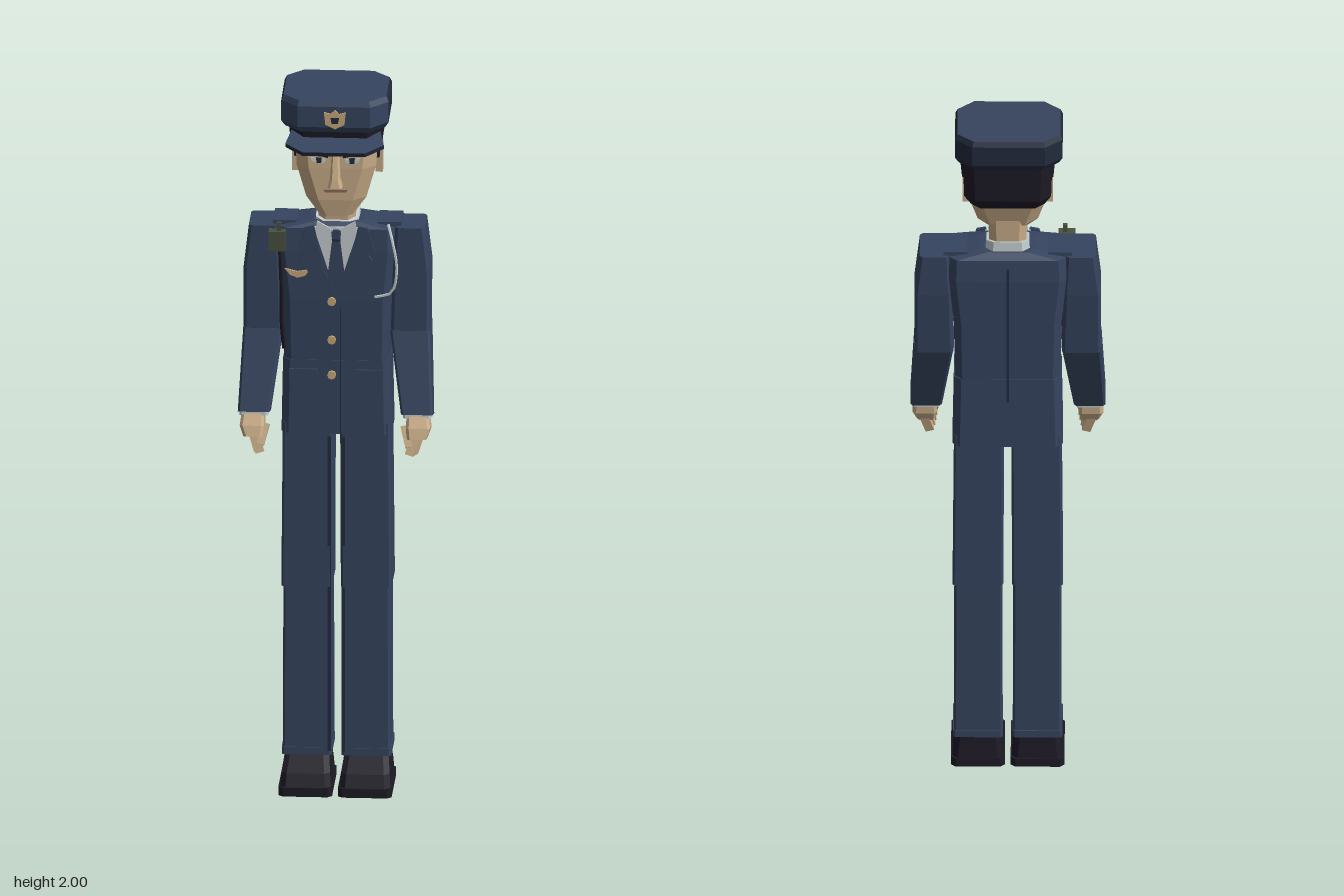
import * as THREE from 'three';

const mat = (name, color) => {
  const m = new THREE.MeshStandardMaterial({ color });
  m.name = name;
  m.flatShading = true;
  return m;
};

export function createModel() {
  const navy = mat('navy cloth', 0x36445f), dark = mat('dark navy', 0x222a3c), black = mat('black', 0x1d1a25);
  const skin = mat('skin', 0xc9ad88), white = mat('shirt white', 0xc8d0d2), gold = mat('gold', 0xc8a878);
  const olive = mat('radio olive', 0x48523f), lip = mat('lip brown', 0x8a6a55);
  const root = new THREE.Group();

  const add = (name, geo, material, parent = root) => {
    const m = new THREE.Mesh(geo, material);
    m.name = name;
    parent.add(m);
    return m;
  };
  const box = (name, x, y, z, w, h, d, material, parent) => {
    const m = add(name, new THREE.BoxGeometry(w, h, d), material, parent);
    m.position.set(x, y, z);
    return m;
  };

  // Ring with cut corners: centre x, height, back z, front z, half width, corner cut, tilt along z
  const ring = (cx, y, zb, zf, hx, c = 0.02, tilt = 0) => {
    const hz = (zf - zb) / 2, cz = (zf + zb) / 2;
    return [[hx, c - hz], [hx, hz - c], [hx - c, hz], [c - hx, hz], [-hx, hz - c], [-hx, c - hz], [c - hx, -hz], [hx - c, -hz]]
      .map(([x, z]) => [cx + x, y + z * tilt, cz + z]);
  };
  // Skin through rings listed bottom to top; pick(side) chooses a material index
  const loft = (name, rings, material, parent, pick) => {
    const pos = [], geo = new THREE.BufferGeometry(), n = 8;
    const face = (index, ...p) => {
      if (pick) geo.addGroup(pos.length / 3, p.length, index);
      p.forEach(v => pos.push(...v));
    };
    for (let r = 0; r < rings.length - 1; r++) {
      const a = rings[r], b = rings[r + 1];
      for (let i = 0; i < n; i++) {
        const j = (i + 1) % n;
        face(pick ? pick(i) : 0, a[i], b[i], a[j], a[j], b[i], b[j]);
      }
    }
    const a = rings[0], b = rings[rings.length - 1];
    for (let i = 1; i < n - 1; i++) {
      face(0, a[0], a[i], a[i + 1]);
      face(0, b[0], b[i + 1], b[i]);
    }
    geo.setAttribute('position', new THREE.Float32BufferAttribute(pos, 3));
    geo.computeVertexNormals();
    return add(name, geo, material, parent);
  };
  // Thin flat plate facing the front
  const plate = (name, pts, z, material, depth = 0.006) => {
    const shape = new THREE.Shape(pts.map(p => new THREE.Vector2(...p)));
    const m = add(name, new THREE.ExtrudeGeometry(shape, { depth, bevelEnabled: false }), material);
    m.position.z = z;
    return m;
  };
  const cord = (name, pts, r, material) => {
    const curve = new THREE.CatmullRomCurve3(pts.map(p => new THREE.Vector3(...p)));
    return add(name, new THREE.TubeGeometry(curve, 12, r, 5), material);
  };

  // Jacket
  loft('jacketSkirt', [ring(0, 1.02, -0.12, 0.042, 0.15), ring(0, 1.23, -0.115, 0.04, 0.146)], navy);
  loft('jacketBody', [ring(0, 1.22, -0.113, 0.038, 0.143), ring(0, 1.4, -0.116, 0.04, 0.146),
    ring(0, 1.54, -0.117, 0.04, 0.16), ring(0, 1.605, -0.112, 0.036, 0.158), ring(0, 1.622, -0.095, 0.02, 0.075)], navy);
  box('backSeam', 0, 1.37, -0.117, 0.006, 0.42, 0.005, dark);
  box('frontOverlap', 0.012, 1.2, 0.042, 0.003, 0.36, 0.003, dark);

  // Shirt, tie and lapels
  plate('shirtFront', [[-0.062, 1.612], [0.062, 1.612], [0, 1.42]], 0.037, white);
  plate('tie', [[-0.014, 1.605], [0.014, 1.605], [0.011, 1.575], [0.024, 1.47], [0, 1.425], [-0.024, 1.47], [-0.011, 1.575]], 0.041, navy);
  plate('tieKnotLine', [[-0.012, 1.578], [0.012, 1.578], [0.011, 1.573], [-0.011, 1.573]], 0.045, dark, 0.003);
  for (const s of [1, -1]) {
    plate('lapel', [[s * 0.06, 1.617], [s * 0.085, 1.612], [s * 0.105, 1.545], [s * 0.088, 1.535], [s * 0.1, 1.52],
      [s * 0.045, 1.44], [0, 1.408], [0, 1.425], [s * 0.032, 1.49]], 0.041, navy, 0.009);
    plate('shirtCollarTip', [[s * 0.008, 1.605], [s * 0.052, 1.63], [s * 0.056, 1.6], [s * 0.03, 1.565]], 0.04, white, 0.007);
    plate('pocketFlap', [[s * 0.05, 1.205], [s * 0.128, 1.205], [s * 0.128, 1.178], [s * 0.05, 1.172]], 0.039, navy, 0.007);
    box('shoulderStrap', s * 0.142, 1.612, -0.04, 0.065, 0.014, 0.1, navy);
  }
  for (const y of [1.4, 1.29, 1.19]) {
    const b = add('button', new THREE.CylinderGeometry(0.012, 0.012, 0.009, 8), gold);
    b.rotation.x = Math.PI / 2;
    b.position.set(-0.012, y, 0.046);
  }
  plate('wingBadge', [[-0.14, 1.492], [-0.105, 1.484], [-0.07, 1.49], [-0.085, 1.472], [-0.105, 1.466], [-0.125, 1.474]], 0.04, gold);

  // Braided cord, radio and its lead
  cord('shoulderCord', [[0.14, 1.615, 0.02], [0.152, 1.58, 0.047], [0.165, 1.5, 0.055], [0.15, 1.43, 0.05], [0.105, 1.415, 0.045]], 0.004, white);
  box('radio', -0.16, 1.575, 0.05, 0.046, 0.055, 0.032, olive);
  box('radioAerial', -0.155, 1.61, 0.05, 0.012, 0.03, 0.012, olive);
  cord('radioLead', [[-0.152, 1.55, 0.06], [-0.148, 1.45, 0.065], [-0.148, 1.35, 0.058], [-0.142, 1.265, 0.045]], 0.006, black);

  // Arms and hands
  for (const s of [1, -1]) {
    const arm = new THREE.Group();
    arm.name = s > 0 ? 'leftArm' : 'rightArm';
    root.add(arm);
    loft('upperSleeve', [ring(s * 0.2, 1.3, -0.088, 0.03, 0.053, 0.008), ring(s * 0.203, 1.49, -0.103, 0.03, 0.05, 0.008),
      ring(s * 0.199, 1.608, -0.1, 0.028, 0.04, 0.008)], navy, arm);
    loft('forearmSleeve', [ring(s * 0.222, 1.085, 0.008, 0.094, 0.043, 0.006, 0.25), ring(s * 0.2, 1.315, -0.088, 0.031, 0.054, 0.006)], navy, arm);
    loft('shirtCuff', [ring(s * 0.222, 1.075, 0.014, 0.09, 0.038, 0.006, 0.25), ring(s * 0.222, 1.095, 0.012, 0.09, 0.038, 0.006, 0.25)], white, arm);
    loft('palm', [ring(s * 0.222, 1.022, 0.035, 0.118, 0.026, 0.008, 0.25), ring(s * 0.226, 1.05, 0.022, 0.108, 0.033, 0.008, 0.25),
      ring(s * 0.224, 1.09, 0.02, 0.085, 0.03, 0.008, 0.25)], skin, arm);
    for (let i = 0; i < 4; i++) {
      const f = box('finger', s * (0.22 - 0.003 * i), 1.0 + 0.004 * i, 0.046 + 0.02 * i, 0.024, 0.055, 0.018, skin, arm);
      f.rotation.set(-0.25, 0, -s * 0.3);
    }
    const thumb = box('thumb', s * 0.195, 1.035, 0.098, 0.02, 0.06, 0.02, skin, arm);
    thumb.rotation.set(-0.4, 0, s * 0.25);
  }

  // Trousers and shoes
  for (const s of [1, -1]) {
    const leg = new THREE.Group();
    leg.name = s > 0 ? 'leftLeg' : 'rightLeg';
    root.add(leg);
    loft('thigh', [ring(s * 0.081, 0.58, -0.118, 0.038, 0.069, 0.006), ring(s * 0.078, 1.05, -0.112, 0.036, 0.068, 0.006)], navy, leg);
    loft('shin', [ring(s * 0.08, 0.1, -0.112, 0.03, 0.066, 0.006), ring(s * 0.08, 0.59, -0.114, 0.028, 0.065, 0.006)], navy, leg);
    box('innerCrease', s * 0.019, 0.56, 0.033, 0.009, 0.9, 0.009, dark, leg);
    loft('trouserCuff', [ring(s * 0.081, 0.097, -0.115, 0.033, 0.068, 0.006), ring(s * 0.081, 0.118, -0.115, 0.033, 0.068, 0.006)], navy, leg);
    loft('sole', [ring(s * 0.081, 0, -0.108, 0.105, 0.073, 0.012), ring(s * 0.081, 0.025, -0.108, 0.105, 0.073, 0.012)], black, leg);
    loft('shoe', [ring(s * 0.081, 0.025, -0.105, 0.1, 0.069, 0.015), ring(s * 0.081, 0.06, -0.1, 0.085, 0.066, 0.015),
      ring(s * 0.081, 0.1, -0.098, 0.03, 0.06, 0.015)], black, leg);
  }

  // Neck and head
  loft('shirtCollar', [ring(0, 1.595, -0.092, 0.024, 0.062, 0.02), ring(0, 1.637, -0.09, 0.02, 0.058, 0.02, -0.25)], white);
  loft('neck', [ring(0, 1.6, -0.082, 0.014, 0.05), ring(0, 1.72, -0.085, 0.02, 0.052)], skin);
  loft('head', [ring(0, 1.652, -0.03, 0.068, 0.045, 0.02), ring(0, 1.7, -0.08, 0.074, 0.082, 0.035),
    ring(0, 1.79, -0.11, 0.074, 0.108, 0.035), ring(0, 1.9, -0.11, 0.07, 0.112, 0.03)], skin);
  loft('nose', [ring(0, 1.742, 0.05, 0.103, 0.02, 0.007), ring(0, 1.765, 0.05, 0.098, 0.014, 0.006), ring(0, 1.835, 0.05, 0.077, 0.01, 0.004)], skin);
  plate('mouth', [[-0.034, 1.73], [0.034, 1.73], [0.028, 1.723], [-0.028, 1.723]], 0.072, lip, 0.005);
  for (const s of [1, -1]) {
    plate('eyeWhite', [[s * 0.025, 1.817], [s * 0.068, 1.822], [s * 0.062, 1.808], [s * 0.03, 1.806]], 0.07, white, 0.005);
    plate('iris', [[s * 0.037, 1.82], [s * 0.053, 1.822], [s * 0.051, 1.806], [s * 0.039, 1.806]], 0.071, dark, 0.006);
    plate('eyebrow', [[s * 0.02, 1.83], [s * 0.075, 1.842], [s * 0.073, 1.833], [s * 0.02, 1.821]], 0.07, black, 0.007);
    box('ear', s * 0.113, 1.795, -0.03, 0.02, 0.08, 0.036, skin);
    box('sideburn', s * 0.109, 1.85, 0.002, 0.014, 0.09, 0.026, black);
  }
  loft('hair', [ring(0, 1.775, -0.118, -0.045, 0.1, 0.025), ring(0, 1.805, -0.133, -0.04, 0.118, 0.03),
    ring(0, 1.93, -0.142, 0.01, 0.122, 0.03)], black);

  // Peaked cap
  loft('capBand', [ring(0, 1.86, -0.138, 0.08, 0.124, 0.04, -0.05), ring(0, 1.925, -0.142, 0.086, 0.13, 0.042, -0.05)], black);
  loft('capCrown', [ring(-0.003, 1.905, -0.142, 0.088, 0.136, 0.045, -0.05), ring(-0.003, 1.922, -0.15, 0.098, 0.146, 0.047, -0.05),
    ring(-0.003, 1.98, -0.15, 0.097, 0.146, 0.047, -0.05), ring(-0.003, 1.9945, -0.142, 0.09, 0.14, 0.045, -0.047)],
  [navy, dark], root, i => (i >= 1 && i <= 3 ? 0 : 1));
  const peakShape = new THREE.Shape([[-0.12, 0], [0.12, 0], [0.134, 0.07], [0.085, 0.11], [-0.085, 0.11], [-0.134, 0.07]]
    .map(p => new THREE.Vector2(...p)));
  const peak = add('capPeak', new THREE.ExtrudeGeometry(peakShape, { depth: 0.012, bevelEnabled: false }).rotateX(Math.PI / 2), [navy, dark]);
  peak.position.set(0, 1.893, 0.045);
  peak.rotation.x = 0.3;
  plate('capBadge', [[-0.03, 1.96], [-0.012, 1.955], [0, 1.966], [0.012, 1.955], [0.03, 1.96], [0.026, 1.925], [0, 1.912], [-0.026, 1.925]], 0.097, gold);
  plate('capBadgeCentre', [[-0.012, 1.945], [0.012, 1.945], [0.008, 1.928], [-0.008, 1.928]], 0.101, dark, 0.004);

  return root;
}
